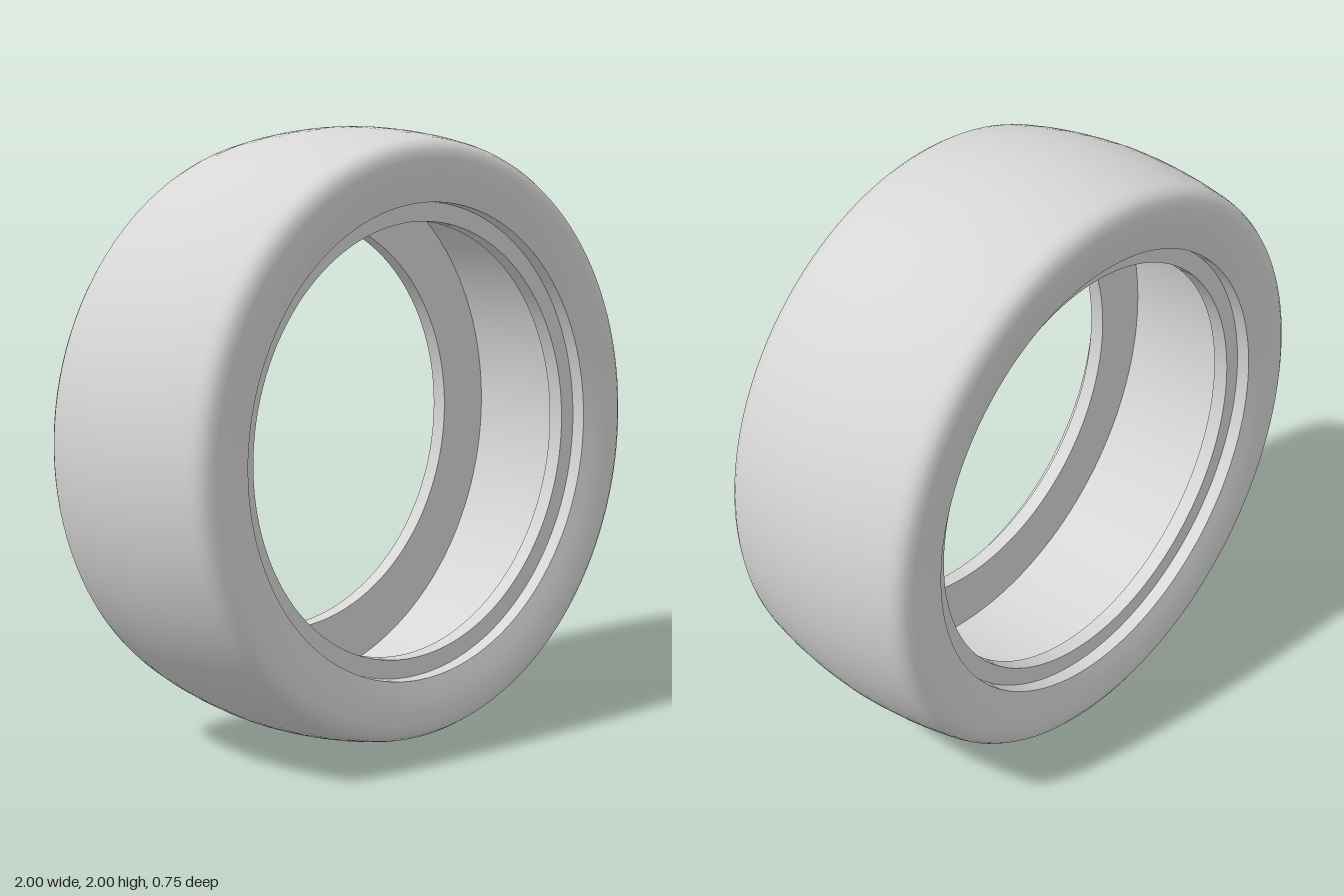
import * as THREE from 'three';

export function createModel() {
  const group = new THREE.Group();
  const rubber = new THREE.MeshStandardMaterial({ color: 0xd6d6d6 });
  rubber.name = 'light grey rubber';

  // Revolve a profile of [radius, z] points about the wheel axis
  const revolve = (name, points) => {
    const geometry = new THREE.LatheGeometry(points.map(([r, z]) => new THREE.Vector2(r, z)), 128);
    geometry.rotateX(Math.PI / 2);
    const mesh = new THREE.Mesh(geometry, rubber);
    mesh.name = name;
    mesh.position.y = 1;
    group.add(mesh);
  };

  // Crowned tread, rounded shoulders and gently dished sidewalls as one smooth skin
  const half = [
    [1.0, 0], [0.997, 0.08], [0.99, 0.16], [0.979, 0.24], [0.964, 0.315],
    [0.957, 0.338], [0.945, 0.357], [0.925, 0.369], [0.9, 0.373],
    [0.87, 0.371], [0.835, 0.366], [0.8, 0.359], [0.763, 0.35],
  ];
  const back = half.slice(1).reverse().map(([r, z]) => [r, -z]);
  revolve('treadAndSidewalls', [...back, ...half]);

  // Stepped bead on each side; separate bands keep the edges sharp
  for (const side of [1, -1]) {
    const label = side > 0 ? 'front' : 'back';
    const band = (name, a, b) => {
      const points = [a, b].map(([r, z]) => [r, z * side]);
      revolve(label + name, side > 0 ? points : points.reverse());
    };
    band('RimSeat', [0.763, 0.35], [0.763, 0.303]);
    band('BeadFace', [0.763, 0.303], [0.702, 0.303]);
    band('BeadBore', [0.702, 0.303], [0.702, 0.25]);
    band('SidewallInside', [0.702, 0.25], [0.902, 0.25]);
  }

  // Inner lining of the hollow casing
  revolve('innerLining', [[0.902, 0.25], [0.902, -0.25]]);

  return group;
}
